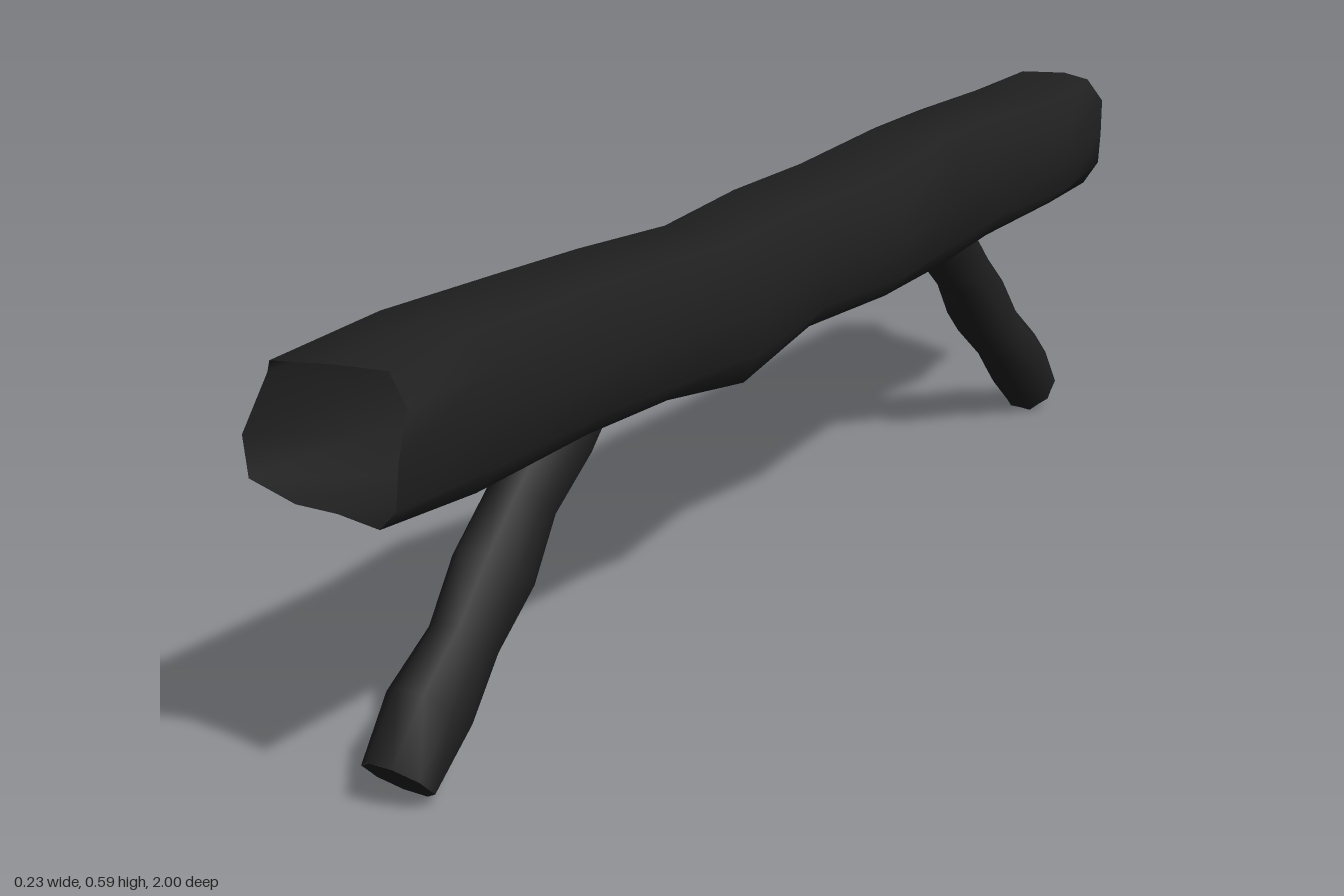
import * as THREE from 'three';

// Small seeded generator for the gnarled surface
function seeded(seed) {
  let s = seed;
  return () => (s = (s * 16807) % 2147483647) / 2147483647;
}

// Outline of the trunk: a soft square, counter-clockwise from the +x side
const SQUARE = [[1, 0], [1, 0.6], [0.68, 0.97], [0, 0.95], [-0.68, 1], [-1, 0.65],
  [-1, 0], [-1, -0.6], [-0.65, -1], [0, -0.95], [0.68, -1], [1, -0.6]];
const ROUND = Array.from({ length: 8 }, (_, i) => {
  const a = (i + 0.5) * Math.PI / 4;
  return [Math.cos(a) * 1.08, Math.sin(a) * 1.08];
});

// Skin of rings along z; section = [z, xMin, xMax, yMin, yMax], ends = z of each rim point
function barkTube(outline, sections, wobble, seed, rims = {}) {
  const rnd = seeded(seed), n = outline.length, pos = [], idx = [];
  sections.forEach(([z, x0, x1, y0, y1], i) => {
    outline.forEach(([u, v], j) => {
      const k = 1 - wobble * rnd();
      const rim = rims[i];
      pos.push((x0 + x1) / 2 + u * k * (x1 - x0) / 2,
        (y0 + y1) / 2 + v * k * (y1 - y0) / 2, rim ? rim[j] : z);
      if (i < sections.length - 1) {
        const a = i * n + j, b = i * n + (j + 1) % n;
        idx.push(a, b, a + n, b, b + n, a + n);
      }
    });
  });
  const g = new THREE.BufferGeometry();
  g.setAttribute('position', new THREE.Float32BufferAttribute(pos, 3));
  g.setIndex(idx);
  g.computeVertexNormals();
  return g;
}

export function createModel() {
  const model = new THREE.Group();
  model.name = 'hollowLog';
  const bark = new THREE.MeshStandardMaterial({ color: 0x202020, side: THREE.DoubleSide });
  bark.name = 'darkBark';

  // Hollow trunk, open at both splintered ends
  const sections = [
    [-0.96, -0.1, 0.09, 0.4, 0.59],
    [-0.78, -0.105, 0.112, 0.4, 0.587],
    [-0.6, -0.112, 0.078, 0.385, 0.585],
    [-0.42, -0.1, 0.09, 0.375, 0.59],
    [-0.2, -0.116, 0.112, 0.383, 0.577],
    [0, -0.1, 0.09, 0.385, 0.575],
    [0.2, -0.092, 0.1, 0.36, 0.573],
    [0.38, -0.117, 0.1, 0.38, 0.58],
    [0.57, -0.096, 0.1, 0.39, 0.59],
    [0.8, -0.102, 0.1, 0.387, 0.6],
    [0.97, -0.117, 0.102, 0.398, 0.59],
  ];
  const rims = {
    0: [-0.95, -0.955, -0.96, -1, -0.96, -0.955, -0.95, -0.955, -0.96, -0.94, -0.955, -0.955],
    10: [0.98, 0.96, 0.95, 0.955, 0.985, 0.95, 1, 0.99, 0.96, 0.965, 0.975, 0.99],
  };
  const trunk = new THREE.Mesh(barkTube(SQUARE, sections, 0.06, 71, rims), bark);
  trunk.name = 'trunk';
  model.add(trunk);

  // Two slanted branch stubs carrying the trunk
  const radii = [0.047, 0.052, 0.05, 0.046, 0.055, 0.047, 0.054, 0.047];
  const length = 0.67;
  for (const side of [1, -1]) {
    const leg = new THREE.Group();
    leg.name = side > 0 ? 'frontBranch' : 'backBranch';
    const rings = radii.map((r, i) => {
      const sway = i < 7 ? 0.004 * Math.sin(i * 2.1 + side) : 0;
      return [length * i / 7, -r, r, sway - r, sway + r];
    });
    const stem = new THREE.Mesh(barkTube(ROUND, rings, 0.09, side > 0 ? 913 : 4571), bark);
    stem.name = 'stem';
    leg.add(stem);

    // Sawn faces at both ends
    for (const end of [0, 1]) {
      const cut = new THREE.Mesh(new THREE.CircleGeometry(0.048, 8, Math.PI / 8), bark);
      cut.name = end ? 'footCut' : 'innerCut';
      cut.position.z = end * length;
      if (!end) cut.rotation.y = Math.PI;
      leg.add(cut);
    }
    leg.rotation.x = side > 0 ? Math.PI / 4 : Math.PI * 3 / 4;
    leg.position.set(0, 0.511, side * (side > 0 ? 0.418 : 0.408));
    model.add(leg);
  }
  return model;
}
